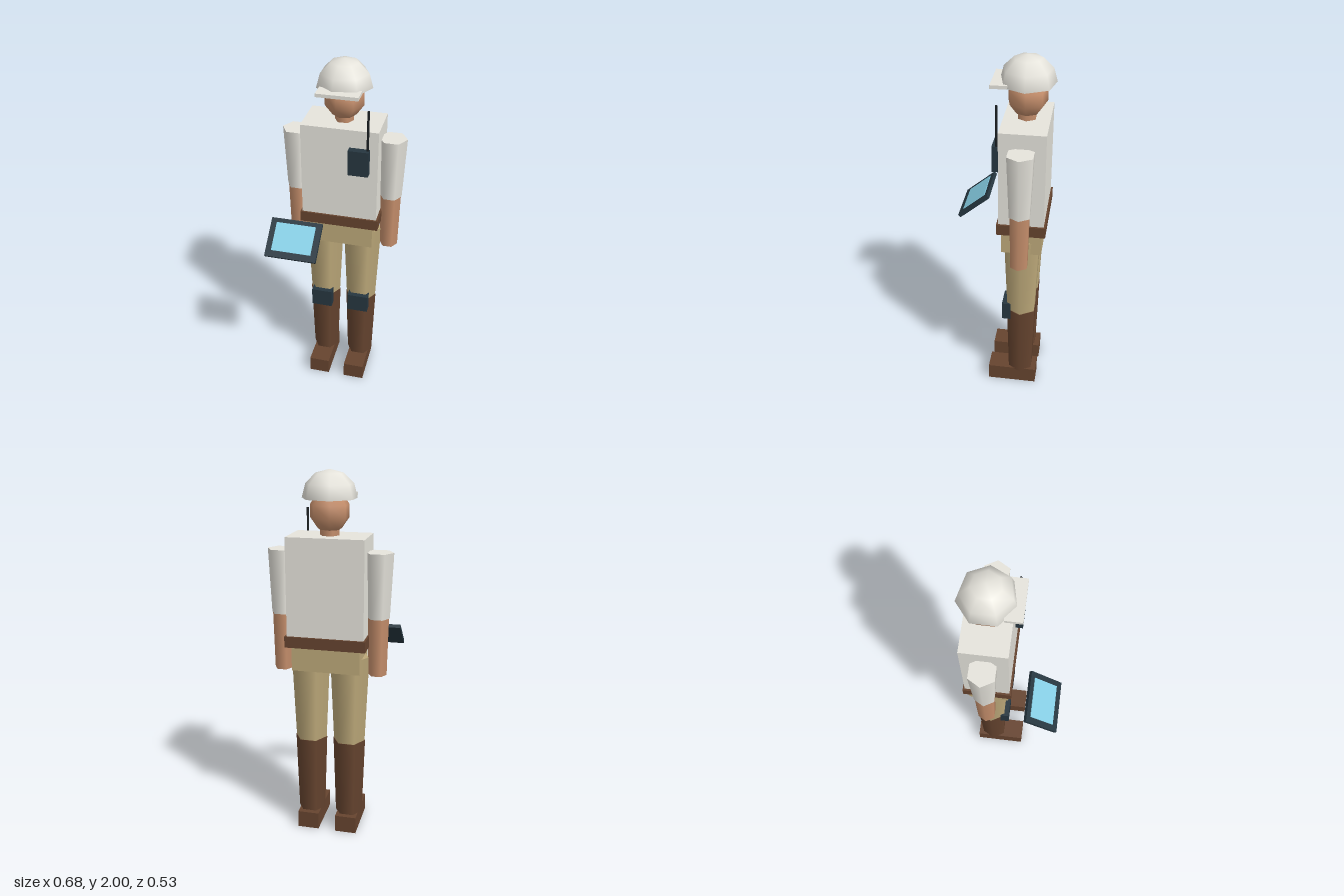
import * as THREE from 'three';

const mat = (name, color, side = THREE.FrontSide) => {
  const m = new THREE.MeshStandardMaterial({ color, side });
  m.name = name;
  return m;
};

export function createModel() {
  const white = mat('offWhite', 0xe6e4dc);
  const skin = mat('skin', 0xc68f6c);
  const khaki = mat('khaki', 0xbda97a);
  const brown = mat('brownLeather', 0x66442f);
  const dark = mat('darkSlate', 0x263640);
  const black = mat('black', 0x1a1f22);
  const screenBlue = mat('screenBlue', 0x87cfe6);

  const model = new THREE.Group();
  model.name = 'fieldEngineer';
  const figure = new THREE.Group();
  figure.name = 'figure';
  figure.position.x = 0.004;
  model.add(figure);

  const Z = -0.125; // body axis

  function add(parent, name, geometry, material, x, y, z) {
    const mesh = new THREE.Mesh(geometry, material);
    mesh.name = name;
    mesh.position.set(x, y, z);
    parent.add(mesh);
    return mesh;
  }
  const box = (name, material, w, h, d, x, y, z, parent = figure) =>
    add(parent, name, new THREE.BoxGeometry(w, h, d), material, x, y, z);

  // Six-sided tapered limb, corners on the x axis, from y0 up to y1
  const limb = (name, material, rTop, rBottom, y0, y1, x, z = Z) =>
    add(figure, name, new THREE.CylinderGeometry(rTop, rBottom, y1 - y0, 6, 1, false, Math.PI / 2),
      material, x, (y0 + y1) / 2, z);

  // Trunk
  box('torso', white, 0.41, 0.52, 0.238, 0, 1.412, Z);
  box('belt', brown, 0.432, 0.06, 0.258, 0, 1.122, Z);
  box('hips', khaki, 0.368, 0.14, 0.216, 0, 1.03, Z);

  // Head and seven-sided helmet
  limb('neck', skin, 0.051, 0.051, 1.66, 1.75, 0);
  const head = new THREE.SphereGeometry(0.108, 7, 5).rotateY(Math.PI);
  add(figure, 'head', head, skin, 0, 1.793, Z);
  const dome = new THREE.SphereGeometry(0.146, 7, 3, 0, Math.PI * 2, 0, Math.PI / 2).rotateY(Math.PI);
  add(figure, 'helmetDome', dome, white, 0, 1.857, Z).scale.y = 0.98;
  const underside = new THREE.CircleGeometry(0.146, 7).rotateX(Math.PI / 2);
  add(figure, 'helmetUnderside', underside, white, 0, 1.857, Z);
  box('helmetBrim', white, 0.218, 0.018, 0.086, 0, 1.866, 0.006);

  // Arms and legs
  for (const [side, s] of [['left', 1], ['right', -1]]) {
    limb(side + 'Sleeve', white, 0.075, 0.06, 1.25, 1.594, s * 0.26);
    limb(side + 'Forearm', skin, 0.056, 0.05, 0.937, 1.25, s * 0.26);
    limb(side + 'Thigh', khaki, 0.108, 0.087, 0.54, 1.03, s * 0.108);
    limb(side + 'Boot', brown, 0.09, 0.076, 0.09, 0.542, s * 0.108);
    box(side + 'Foot', brown, 0.119, 0.097, 0.28, s * 0.108, 0.0485, -0.08);
    box(side + 'KneePad', dark, 0.119, 0.108, 0.05, s * 0.108, 0.535, -0.045);
  }

  // Chest radio with antenna
  box('radio', dark, 0.108, 0.14, 0.04, 0.108, 1.505, 0.013);
  add(figure, 'radioAntenna', new THREE.CylinderGeometry(0.0065, 0.0065, 0.225, 5), black, 0.153, 1.68, 0.009);

  // Tilted tablet
  const tablet = new THREE.Group();
  tablet.name = 'tablet';
  tablet.position.set(-0.205, 1.077, 0.175);
  tablet.rotation.x = THREE.MathUtils.degToRad(40);
  figure.add(tablet);
  box('tabletCase', dark, 0.282, 0.02, 0.217, 0, 0, 0, tablet);
  box('tabletScreen', screenBlue, 0.218, 0.005, 0.158, 0, 0.0115, -0.005, tablet);

  return model;
}
